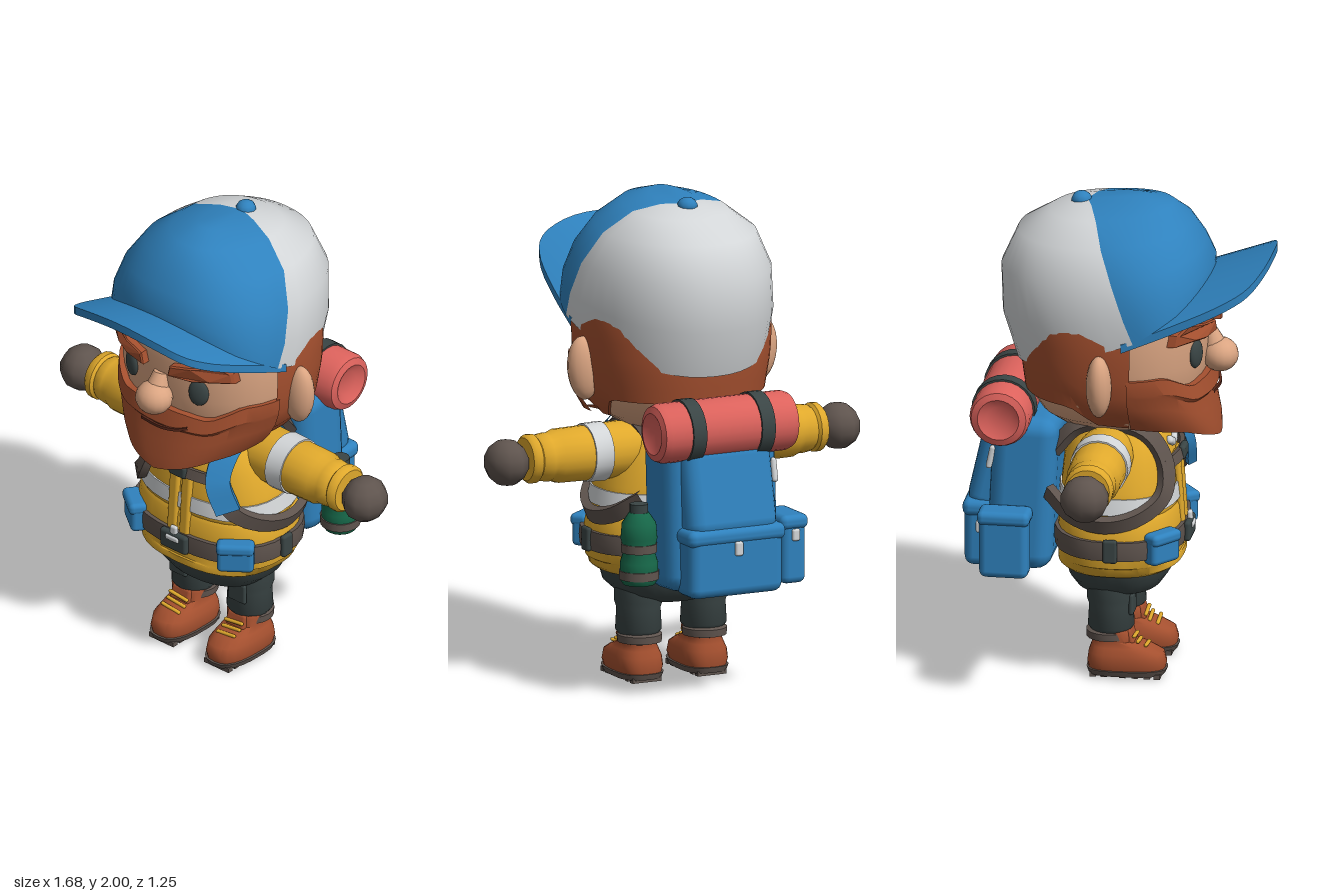
import * as THREE from 'three';
import { toCreasedNormals } from 'three/addons/utils/BufferGeometryUtils.js';
import { RoundedBoxGeometry } from 'three/addons/geometries/RoundedBoxGeometry.js';

const material = (name, color) => Object.assign(new THREE.MeshStandardMaterial({ color }), { name });
const blue = material('blue', 0x2f82be), white = material('pale grey', 0xd3d6d8), skin = material('skin', 0xdba582);
const rust = material('rust brown', 0xa5502f), yellow = material('yellow', 0xe0a92c), slate = material('dark slate', 0x3a4545);
const taupe = material('taupe', 0x5f544e), green = material('green', 0x17694a), coral = material('coral', 0xdc625c);
const mouthDark = material('dark brown', 0x5c2a1c);
const V = (x, y, z) => new THREE.Vector3(x, y, z);
const { lerp } = THREE.MathUtils;

// Surface from a rule f(i, j): i runs to the right, j runs up, seen from outside
function grid(f, nu, nv, crease = 0.75) {
  const pos = [], idx = [];
  for (let j = 0; j <= nv; j++) for (let i = 0; i <= nu; i++) pos.push(...f(i / nu, j));
  for (let j = 0; j < nv; j++) for (let i = 0; i < nu; i++) {
    const a = j * (nu + 1) + i, b = a + nu + 1;
    idx.push(a, a + 1, b, a + 1, b + 1, b);
  }
  const g = new THREE.BufferGeometry();
  g.setAttribute('position', new THREE.Float32BufferAttribute(pos, 3));
  g.setIndex(idx);
  return toCreasedNormals(g, crease);
}
const pw = (t, p) => Math.sign(t) * Math.abs(t) ** p;
// Point on a rounded cross-section [y, half width, front z, back z]; angle 0 is the front
function ringPoint([y, w, zf, zb], a, p) {
  const c = pw(Math.cos(a), p);
  return [w * pw(Math.sin(a), p), y, c > 0 ? zf * c : -zb * c];
}
function loft(rings, p = 0.88, n = 32, crease = 0.75) {
  const first = rings[0], last = rings[rings.length - 1];
  const all = [[first[0], 0, 0, 0], ...rings, [last[0], 0, 0, 0]];
  return grid((u, j) => ringPoint(all[j], u * Math.PI * 2, p), n, all.length - 1, crease);
}
// Section at height y, grown by off
function section(rings, y, off = 0) {
  let i = 0;
  while (i < rings.length - 2 && rings[i + 1][0] < y) i++;
  const t = THREE.MathUtils.clamp((y - rings[i][0]) / (rings[i + 1][0] - rings[i][0]), 0, 1);
  const m = rings[i].map((v, k) => lerp(v, rings[i + 1][k], t));
  return [y, m[1] + off, m[2] + off, m[3] - off];
}
function table(pts, x) {
  let i = 0;
  while (i < pts.length - 2 && pts[i + 1][0] < x) i++;
  return lerp(pts[i][1], pts[i + 1][1], THREE.MathUtils.clamp((x - pts[i][0]) / (pts[i + 1][0] - pts[i][0]), 0, 1));
}
// Flat strap swept along a curve, facing away from a centre
function ribbon(points, width, thick, n = 28, centre = V(0, 0.85, 0)) {
  const curve = new THREE.CatmullRomCurve3(points.map(p => V(...p)));
  const corners = [[-1, 1], [1, 1], [1, -1], [-1, -1], [-1, 1]];
  return grid((u, j) => {
    const p = curve.getPoint(j / n), t = curve.getTangent(j / n), o = p.clone().sub(centre);
    const nrm = o.addScaledVector(t, -o.dot(t)).normalize(), b = t.clone().cross(nrm);
    const [cb, cn] = corners[Math.round(u * 4)];
    return p.addScaledVector(b, cb * width / 2).addScaledVector(nrm, cn * thick / 2).toArray();
  }, 4, n);
}
const box = (w, h, d, r = 0.015) => new RoundedBoxGeometry(w, h, d, 2, Math.min(r, w / 2.1, h / 2.1, d / 2.1));
const ball = (x, y, z, n = 16) => new THREE.SphereGeometry(1, n, Math.ceil(n * 0.7)).scale(x, y, z);
const lathe = (pts, n = 20) => toCreasedNormals(new THREE.LatheGeometry(pts.map(p => new THREE.Vector2(...p)), n), 0.8);

const headRings = [[1.04, 0.17, 0.22, -0.24], [1.11, 0.29, 0.29, -0.32], [1.2, 0.36, 0.335, -0.375], [1.35, 0.385, 0.355, -0.395],
  [1.5, 0.39, 0.365, -0.395], [1.65, 0.37, 0.355, -0.38], [1.78, 0.28, 0.25, -0.3]];
const jacketRings = [[0.46, 0.3, 0.235, -0.235], [0.475, 0.32, 0.255, -0.25], [0.505, 0.33, 0.255, -0.25], [0.51, 0.34, 0.25, -0.245],
  [0.6, 0.352, 0.255, -0.25], [0.7, 0.335, 0.245, -0.245], [0.715, 0.325, 0.237, -0.237], [0.73, 0.33, 0.242, -0.242],
  [0.82, 0.31, 0.232, -0.235], [0.92, 0.275, 0.215, -0.225], [1.0, 0.23, 0.19, -0.2], [1.05, 0.18, 0.15, -0.17], [1.09, 0.14, 0.12, -0.14]];
const faceZ = (x, y) => {
  const [, w, zf] = section(headRings, y);
  return zf * Math.cos(Math.asin(Math.min(1, (Math.abs(x) / w) ** (1 / 0.88)))) ** 0.88;
};

export function createModel() {
  const root = new THREE.Group();
  const add = (name, geo, mat, pos = [0, 0, 0], rot = [0, 0, 0]) => {
    const m = new THREE.Mesh(geo, mat);
    m.name = name;
    m.position.set(...pos);
    m.rotation.set(...rot);
    root.add(m);
  };

  // Head, hair and beard
  add('head', loft(headRings), skin);
  const hairLow = [[1.37, 1.09], [1.7, 1.11], [1.95, 1.2], [Math.PI, 1.2]];
  add('hair', grid((u, j) => {
    const a = lerp(1.36, Math.PI * 2 - 1.36, u), low = table(hairLow, Math.min(a, Math.PI * 2 - a));
    const y = lerp(low, 1.56, Math.max(0, j - 1) / 6);
    return ringPoint(section(headRings, y, j ? 0.012 : -0.02), a, 0.88);
  }, 32, 7), rust);
  const beardTop = [[0, 1.285], [0.3, 1.28], [0.55, 1.27], [0.95, 1.335], [1.4, 1.33]];
  const beardLow = [[0, 1], [0.4, 1.035], [0.8, 1.075], [1.4, 1.1]];
  const beardRows = [[0.15, 0.16, 0.12, -0.3], [0, 0.31, 0.405, 0], [0.2, 0.345, 0.4, 0], [0.45, 0.375, 0.385, 0], [0.68, 0.39, 0.375, 0],
    [0.74, 0.395, 0.388, 0], [1, 0.397, 0.372, 0], [1, 0.36, 0.33, 0]];
  add('beard', grid((u, j) => {
    const a = lerp(-1.4, 1.4, u), [t, w, z] = beardRows[j];
    return ringPoint([lerp(table(beardLow, Math.abs(a)), table(beardTop, Math.abs(a)), t), w, z, 0], a, 0.88);
  }, 28, 7, 0.5), rust);
  add('mouth', ribbon([[-0.08, 1.2, 0.383], [0.03, 1.205, 0.396], [0.1, 1.212, 0.382], [0.15, 1.23, 0.366]], 0.012, 0.01, 12, V(0, 1.2, 0)), mouthDark);
  add('nose', ball(0.078, 0.07, 0.075), skin, [0, 1.335, 0.4]);
  add('noseBridge', new THREE.CylinderGeometry(0.03, 0.06, 0.11, 12), skin, [0, 1.385, 0.375], [-0.3, 0, 0]);
  for (const s of [-1, 1]) {
    add('ear', ball(0.07, 0.132, 0.052), skin, [s * 0.4, 1.31, -0.03], [0, 0, -s * 0.08]);
    add('eye', ball(0.043, 0.06, 0.02), slate, [s * 0.177, 1.395, faceZ(0.177, 1.395)], [0, s * 0.4, 0]);
    const brow = new THREE.Shape([[0.07, 1.465], [0.17, 1.467], [0.24, 1.475], [0.31, 1.47], [0.305, 1.51], [0.27, 1.54], [0.17, 1.52], [0.08, 1.505]]
      .map(([x, y]) => new THREE.Vector2(s * x, y)));
    const g = new THREE.ExtrudeGeometry(brow, { depth: 0.045, bevelSize: 0.006, bevelThickness: 0.006, bevelSegments: 1 });
    const p = g.attributes.position;
    for (let i = 0; i < p.count; i++) p.setZ(i, p.getZ(i) - 0.015 + faceZ(p.getX(i), 1.49));
    g.computeVertexNormals();
    add('eyebrow', g, rust);
  }

  // Cap: two panels meeting at a seam; rows are [half width, seam z, seam y, front z, front y, back z, back y]
  const capRows = [[0.408, 0.11, 1.5, 0.375, 1.67, -0.42, 1.31], [0.41, 0.07, 1.6, 0.375, 1.73, -0.48, 1.5], [0.385, 0.02, 1.73, 0.34, 1.81, -0.487, 1.7],
    [0.315, -0.035, 1.86, 0.285, 1.9, -0.42, 1.85], [0.2, -0.075, 1.945, 0.21, 1.97, -0.29, 1.93], [0.09, -0.11, 1.97, 0.1, 2, -0.2, 1.96], [0, -0.14, 1.97, -0.14, 1.97, -0.14, 1.97]];
  const panel = (front) => grid((u, j) => {
    const [w, zs, ys, zf, yf, zb, yb] = capRows[j], a = (u - 0.5) * Math.PI, c = Math.cos(a) ** 0.92;
    const x = w * pw(Math.sin(a), 0.92) * (front ? 1 : -1);
    return [x, lerp(ys, front ? yf : yb, c), lerp(zs, front ? zf : zb, c)];
  }, 24, 6, 1.2);
  add('capFront', panel(true), blue);
  add('capBack', panel(false), white);
  add('capButton', ball(0.042, 0.035, 0.042, 10), blue, [0, 1.965, -0.165]);
  const brimCurve = new THREE.CatmullRomCurve3([[-0.41, 0.06], [-0.385, 0.27], [-0.345, 0.46], [-0.29, 0.555], [-0.17, 0.605], [0, 0.62],
    [0.17, 0.605], [0.29, 0.555], [0.345, 0.46], [0.385, 0.27], [0.41, 0.06]].map(([x, z]) => V(x, 0, z)));
  const brimPoint = (u, t, lift) => {
    const o = brimCurve.getPoint(u), a = (u - 0.5) * Math.PI;
    const x = lerp(0.385 * Math.sin(a), o.x, t), z = lerp(0.06 + 0.28 * Math.cos(a), o.z, t);
    return [x, 1.55 + 0.36 * z - 0.55 * x * x + lift, z];
  };
  add('brimTop', grid((u, j) => brimPoint(u, 1 - j / 4, 0.018), 32, 4), blue);
  add('brimEdge', grid((u, j) => brimPoint(u, 1, [-0.018, 0.018][j]), 32, 1), blue);
  add('brimUnderside', grid((u, j) => brimPoint(u, j / 4, -0.018), 32, 4), green);

  // Jacket with bands, zip and belt
  const band = (name, y0, y1, off, mat) => add(name, loft([y0, (y0 + y1) / 2, y1].map(y => section(jacketRings, y, off)), 0.82), mat);
  add('jacket', loft(jacketRings, 0.82), yellow);
  band('reflectiveBand', 0.735, 0.8, 0.006, white);
  band('belt', 0.55, 0.63, 0.016, taupe);
  for (const x of [-0.032, 0.032]) add('zipFlap', box(0.05, 0.4, 0.03), yellow, [x, 0.73, 0.24], [-0.07, 0, 0]);
  for (const s of [-1, 1]) add('collarFlap', box(0.07, 0.035, 0.03), white, [s * 0.035, 0.965, 0.205], [-0.3, 0, s * 0.5]);
  add('zipPull', box(0.035, 0.05, 0.02), white, [0, 0.635, 0.277]);
  add('collar', new THREE.TorusGeometry(0.15, 0.035, 8, 24).rotateX(Math.PI / 2), yellow, [0, 1.04, 0]);
  add('chestStrap', ribbon([[-0.2, 0.91, 0.205], [-0.1, 0.915, 0.235], [0, 0.915, 0.245], [0.1, 0.915, 0.235], [0.2, 0.91, 0.205]], 0.045, 0.02), taupe);
  add('chestBuckle', box(0.09, 0.06, 0.03), slate, [0, 0.915, 0.25]);
  add('beltBuckle', box(0.14, 0.085, 0.03), slate, [0, 0.588, 0.275]);
  add('beltClasp', box(0.07, 0.025, 0.02), white, [0, 0.605, 0.287]);

  // Arms, shoulder straps, belt pouches, legs and boots
  for (const s of [-1, 1]) {
    const sideways = [0, 0, -s * Math.PI / 2];
    add('sleeve', lathe([[0, 0.1], [0.1, 0.12], [0.116, 0.24], [0.112, 0.42], [0.11, 0.53], [0.098, 0.56], [0.1, 0.575], [0.095, 0.61], [0.088, 0.62],
      [0.1, 0.63], [0.1, 0.655], [0.088, 0.668], [0, 0.668]]), yellow, [0, 0.96, -0.03], sideways);
    add('sleeveBand', lathe([[0.11, 0.32], [0.121, 0.32], [0.119, 0.4], [0.108, 0.4]]), white, [0, 0.96, -0.03], sideways);
    add('glove', ball(0.092, 0.096, 0.1, 10), taupe, [s * 0.75, 0.955, -0.03]);
    add('shoulderStrap', ribbon([[0.17, 0.95, -0.25], [0.18, 1.06, -0.15], [0.18, 1.085, -0.02], [0.175, 1.04, 0.13], [0.18, 0.92, 0.205], [0.235, 0.8, 0.205],
      [0.315, 0.725, 0.11], [0.35, 0.7, -0.02], [0.325, 0.725, -0.15], [0.25, 0.8, -0.26]].map(([x, y, z]) => [s * x, y, z]), 0.065, 0.035, 40), taupe);
    add('beltPouch', box(0.15, 0.125, 0.07, 0.02), blue, [s * 0.265, 0.59, 0.205], [0, s * 0.65, 0]);
    add('pouchFlap', box(0.155, 0.05, 0.075, 0.02), blue, [s * 0.268, 0.635, 0.21], [0, s * 0.65, 0]);
    add('beltSlider', box(0.025, 0.1, 0.06), slate, [s * 0.367, 0.595, 0.01]);
    const x = s * 0.147;
    add('trouserLeg', lathe([[0, 0.19], [0.08, 0.19], [0.095, 0.21], [0.09, 0.3], [0.1, 0.33], [0.1, 0.44]]), slate, [x, 0, -0.02]);
    add('legPocket', box(0.09, 0.09, 0.02), slate, [x + s * 0.01, 0.31, 0.068]);
    add('boot', loft([[0.03, 0.088, 0.2, -0.11], [0.06, 0.096, 0.207, -0.115], [0.1, 0.092, 0.195, -0.11], [0.128, 0.08, 0.14, -0.1], [0.15, 0.07, 0.075, -0.095],
      [0.19, 0.08, 0.065, -0.1], [0.2, 0.075, 0.06, -0.095]], 0.75, 24, 0.9), rust, [x, 0, 0]);
    add('bootCuff', lathe([[0.07, 0.155], [0.09, 0.16], [0.092, 0.19], [0.07, 0.2]]), taupe, [x, 0, -0.03]);
    add('bootTongue', box(0.1, 0.07, 0.05), rust, [x, 0.165, 0.05], [-0.3, 0, 0]);
    add('sole', loft([[0.012, 0.09, 0.2, -0.11], [0.036, 0.099, 0.211, -0.118]], 0.75, 24), taupe, [x, 0, 0]);
    for (const z of [-0.085, -0.04, 0.035, 0.085, 0.135, 0.175]) add('tread', new THREE.BoxGeometry(0.13, 0.02, 0.025), taupe, [x, 0.01, z]);
    for (const [y, z] of [[0.168, 0.08], [0.146, 0.095], [0.133, 0.128]]) add('lace', box(0.1, 0.014, 0.016), yellow, [x, y, z], [0, 0, s * 0.12]);
  }
  add('leftStrapPad', ribbon([[0.18, 1.07, 0.09], [0.177, 1.03, 0.155], [0.185, 0.92, 0.222], [0.24, 0.8, 0.222]], 0.1, 0.04), blue);
  add('trouserSeat', loft([[0.325, 0.13, 0.1, -0.12], [0.36, 0.22, 0.165, -0.18], [0.41, 0.275, 0.2, -0.21], [0.48, 0.295, 0.215, -0.22]]), slate);

  // Backpack
  add('packBody', box(0.5, 0.65, 0.27, 0.07), blue, [0, 0.77, -0.375], [0.05, 0, 0]);
  add('packUpper', box(0.4, 0.38, 0.16, 0.06), blue, [0, 0.86, -0.495], [0.22, 0, 0]);
  add('packPocket', box(0.42, 0.26, 0.17, 0.04), blue, [0, 0.57, -0.53]);
  add('packPocketLid', box(0.44, 0.07, 0.18, 0.03), blue, [0, 0.69, -0.53]);
  add('sidePocket', box(0.11, 0.27, 0.2, 0.03), blue, [-0.3, 0.58, -0.43]);
  add('sidePocketLid', box(0.125, 0.06, 0.215, 0.025), blue, [-0.3, 0.7, -0.43]);
  add('pocketClasp', box(0.035, 0.06, 0.02), white, [0, 0.64, -0.62]);
  add('sideClasp', box(0.035, 0.05, 0.02), white, [-0.3, 0.65, -0.537]);
  add('packClip', box(0.025, 0.1, 0.025), white, [-0.22, 0.92, -0.5], [0.2, 0, 0]);

  // Bottle on the left side
  add('bottle', lathe([[0, 0.48], [0.065, 0.48], [0.077, 0.5], [0.077, 0.57], [0.062, 0.62], [0.075, 0.67], [0.07, 0.73], [0.04, 0.775], [0, 0.775]]), green, [0.325, 0, -0.37]);
  add('bottleCap', new THREE.CylinderGeometry(0.038, 0.038, 0.04, 14), slate, [0.325, 0.79, -0.37]);
  for (const [y, r] of [[0.52, 0.082], [0.63, 0.074]]) add('bottleStrap', new THREE.CylinderGeometry(r, r, 0.035, 20), taupe, [0.325, y, -0.37]);

  // Bedroll
  add('bedroll', lathe([[0, -0.295], [0.05, -0.29], [0.085, -0.31], [0.112, -0.3], [0.122, -0.275], [0.122, 0.275], [0.112, 0.3], [0.085, 0.31], [0.05, 0.29], [0, 0.295]], 24),
    coral, [0, 1.11, -0.455], [0, 0, -Math.PI / 2]);
  for (const x of [-0.155, 0.155]) add('bedrollStrap', new THREE.CylinderGeometry(0.13, 0.13, 0.06, 24), slate, [x, 1.11, -0.455], [0, 0, Math.PI / 2]);
  return root;
}
